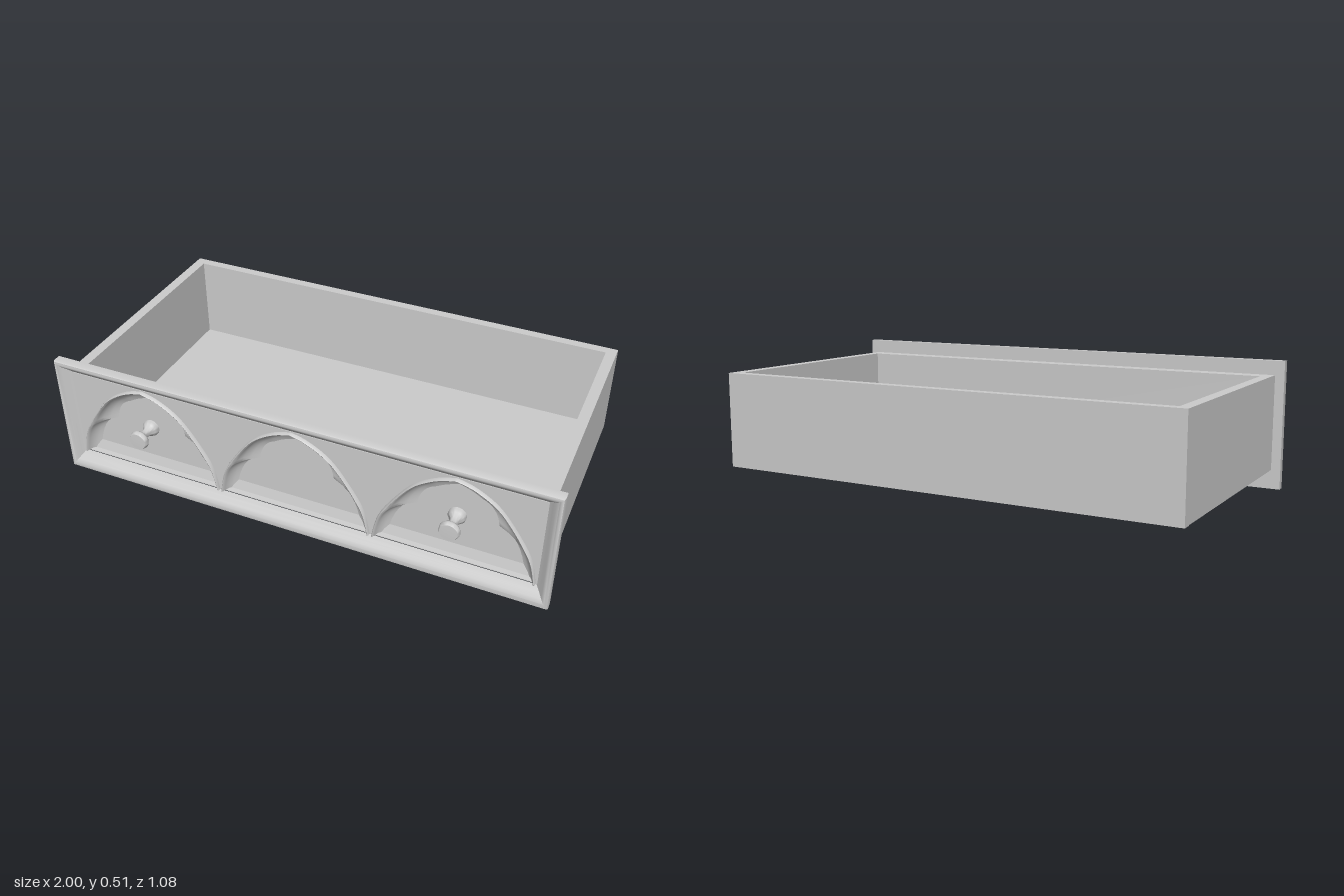
import * as THREE from 'three';
import { toCreasedNormals } from 'three/addons/utils/BufferGeometryUtils.js';

const material = new THREE.MeshStandardMaterial({ color: 0xcccccc });
const V2 = (x, y) => new THREE.Vector2(x, y);

function add(parent, name, geometry, x = 0, y = 0, z = 0) {
  const mesh = new THREE.Mesh(geometry, material);
  mesh.name = name;
  mesh.position.set(x, y, z);
  parent.add(mesh);
}

// Box given by its lower and upper corners
function addBox(parent, name, [x0, y0, z0], [x1, y1, z1]) {
  add(parent, name, new THREE.BoxGeometry(x1 - x0, y1 - y0, z1 - z0),
    (x0 + x1) / 2, (y0 + y1) / 2, (z0 + z1) / 2);
}

// Skin between loops or open lines of equal length, each { points, z }
function loft(rings, closed, crease) {
  const n = rings[0].points.length;
  const positions = rings.flatMap(r => r.points.flatMap(p => [p.x, p.y, r.z]));
  const index = [];
  for (let i = 0; i < rings.length - 1; i++) {
    for (let j = 0; j < (closed ? n : n - 1); j++) {
      const k = (j + 1) % n;
      const a = i * n + j, b = i * n + k, c = a + n, d = b + n;
      index.push(a, b, d, a, d, c);
    }
  }
  const g = new THREE.BufferGeometry();
  g.setAttribute('position', new THREE.Float32BufferAttribute(positions, 3));
  g.setIndex(index);
  return toCreasedNormals(g, crease);
}

// Complete a right half (base to apex) with its mirror image
function mirrored(half) {
  return [...half, ...half.slice(0, -1).reverse().map(p => V2(-p.x, p.y))];
}

// Pointed outer arch
function archLine() {
  const curve = new THREE.SplineCurve([V2(0.311, 0.078), V2(0.292, 0.17), V2(0.253, 0.25),
    V2(0.165, 0.37), V2(0.075, 0.432), V2(0, 0.455)]);
  return mirrored(curve.getPoints(24));
}

// Cusped inner arch, three lobes to each half
function cuspedLine() {
  const lobes = [
    [V2(0.262, 0.078), V2(0.235, 0.25), V2(0.152, 0.265)],
    [V2(0.152, 0.265), V2(0.142, 0.345), V2(0.082, 0.365)],
    [V2(0.082, 0.365), V2(0.05, 0.388), V2(0, 0.402)],
  ];
  const half = [lobes[0][0]];
  for (const l of lobes) half.push(...new THREE.QuadraticBezierCurve(...l).getPoints(8).slice(1));
  return mirrored(half);
}

function rectangle(x, y0, y1) {
  return [V2(x, y0), V2(x, y1), V2(-x, y1), V2(-x, y0)];
}

export function createModel() {
  const model = new THREE.Group();
  model.name = 'drawer';

  // Open box
  const box = new THREE.Group();
  box.name = 'drawerBox';
  model.add(box);
  addBox(box, 'bottom', [-0.93, 0.077, -0.51], [0.93, 0.105, 0.41]);
  addBox(box, 'backWall', [-0.963, 0.075, -0.54], [0.963, 0.458, -0.502]);
  addBox(box, 'frontWall', [-0.922, 0.077, 0.4], [0.922, 0.458, 0.43]);
  for (const s of [-1, 1]) {
    addBox(box, s > 0 ? 'leftWall' : 'rightWall',
      [s > 0 ? 0.921 : -0.963, 0.077, -0.502], [s > 0 ? 0.963 : -0.921, 0.458, 0.43]);
  }

  const front = new THREE.Group();
  front.name = 'drawerFront';
  model.add(front);
  const outer = archLine(), inner = cuspedLine();
  const centres = [-0.63, 0, 0.63];

  // Panel with three arches cut up from its lower edge
  const outline = [V2(0.963, 0.077), V2(0.963, 0.458), V2(-0.963, 0.458), V2(-0.963, 0.077)];
  for (const cx of centres) {
    outline.push(...[...outer].reverse().map(p => V2(p.x + cx, p.y)));
  }
  add(front, 'panel', new THREE.ExtrudeGeometry(new THREE.Shape(outline),
    { depth: 0.04, bevelEnabled: false }), 0, 0, 0.43);

  // Steep sill along the foot of the arches, drawn as (z, y)
  const sill = new THREE.Shape([V2(0.43, 0.077), V2(0.467, 0.077), V2(0.467, 0.08),
    V2(0.447, 0.082), V2(0.436, 0.123), V2(0.43, 0.123)]);
  add(front, 'sill', new THREE.ExtrudeGeometry(sill, { depth: 1.88, bevelEnabled: false })
    .rotateY(-Math.PI / 2), 0.94);

  // Moulded frame: [inset, z]
  const frameProfile = [[0.06, 0.465], [0, 0.465], [0, 0.497], [0.003, 0.503], [0.009, 0.505],
    [0.017, 0.503], [0.028, 0.495], [0.04, 0.482], [0.05, 0.473], [0.056, 0.468]];
  add(front, 'frame', loft(frameProfile.map(([d, z]) => (
    { points: rectangle(1 - d, d * 1.35, 0.515 - d), z })), true, 0.7));

  // Arch mouldings sloping in to the cusped fields: [blend, z]
  const archProfile = [[0, 0.468], [0.03, 0.48], [0.09, 0.484], [0.16, 0.481], [0.23, 0.471],
    [0.42, 0.455], [0.7, 0.443], [1, 0.436]];
  const archGeometry = loft(archProfile.map(([t, z]) => (
    { points: outer.map((p, i) => p.clone().lerp(inner[i], t)), z })), false, 0.8);
  const fieldGeometry = new THREE.ShapeGeometry(new THREE.Shape(inner));
  for (const cx of centres) {
    add(front, 'archMoulding', archGeometry, cx);
    add(front, 'archField', fieldGeometry, cx, 0, 0.436);
  }

  // Turned flat-faced knobs in the outer arches
  const knobProfile = [[0.034, 0], [0.034, 0.01], [0.028, 0.02], [0.018, 0.034], [0.015, 0.05],
    [0.016, 0.066], [0.022, 0.074], [0.036, 0.08], [0.039, 0.085], [0.039, 0.09],
    [0.036, 0.1], [0.034, 0.103], [0, 0.104]];
  const knobGeometry = toCreasedNormals(
    new THREE.LatheGeometry(knobProfile.map(p => V2(...p)), 32).rotateX(Math.PI / 2), 0.7);
  for (const cx of [-0.63, 0.63]) add(front, 'knob', knobGeometry, cx, 0.262, 0.436);

  return model;
}
